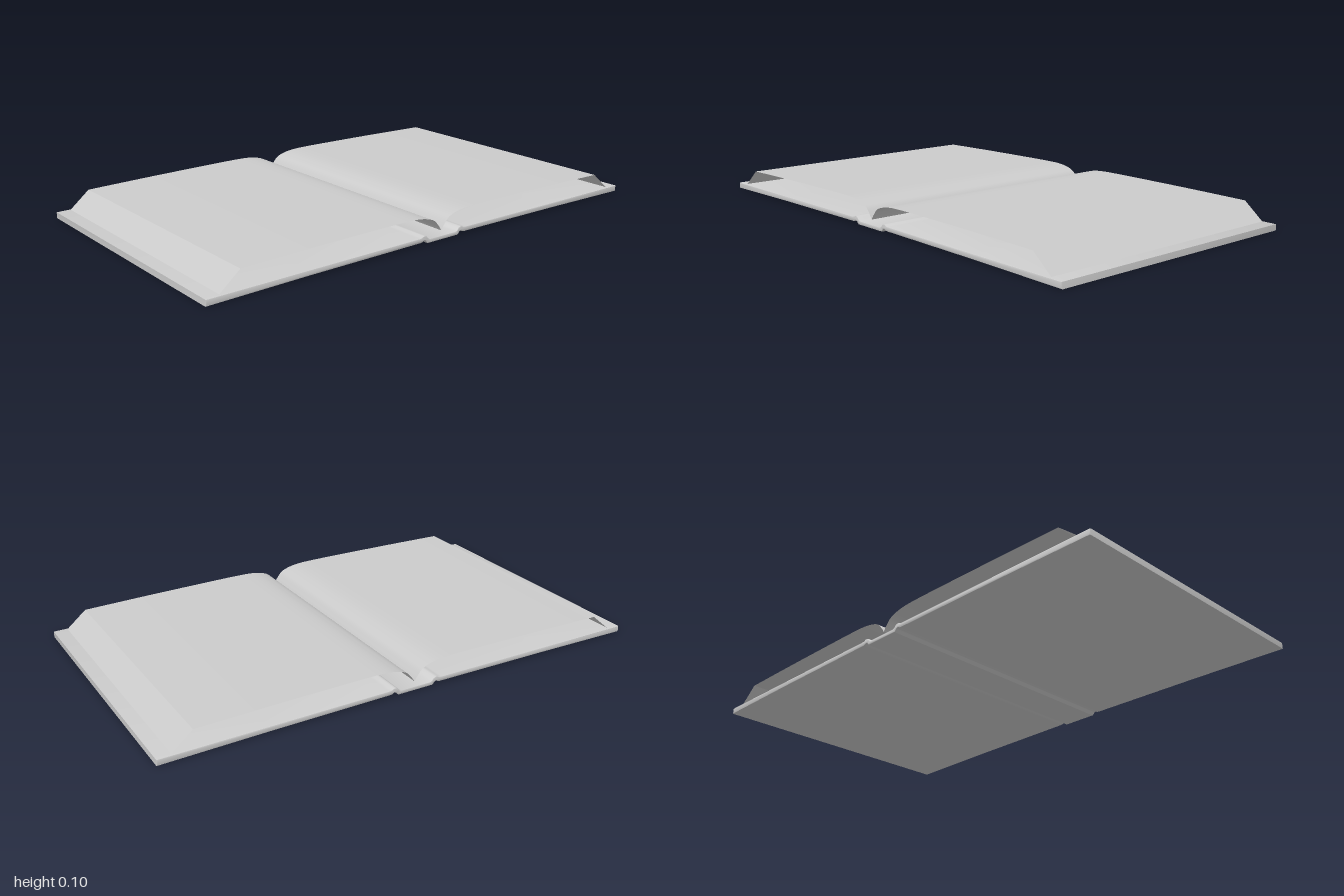
import * as THREE from 'three';
import { toCreasedNormals } from 'three/addons/utils/BufferGeometryUtils.js';

const material = new THREE.MeshStandardMaterial({ color: 0xcccccc });
const paper = new THREE.MeshStandardMaterial({ color: 0xcccccc, side: THREE.DoubleSide });
const vec = ([x, y]) => new THREE.Vector2(x, y);
const mirrored = (half) => [...half.slice().reverse().map(([x, y]) => [-x, y]), ...half];

function addMesh(group, name, geometry, mat) {
  const mesh = new THREE.Mesh(toCreasedNormals(geometry, 0.6), mat);
  mesh.name = name;
  group.add(mesh);
}

// Open sheet that follows a profile in x, y and spans the given depth in z
function sheet(points, depth) {
  const geometry = new THREE.PlaneGeometry(1, depth, points.length - 1, 1).rotateX(-Math.PI / 2);
  const pos = geometry.attributes.position;
  for (let i = 0; i < pos.count; i++) {
    const p = points[i % points.length];
    pos.setXY(i, p.x, p.y);
  }
  return geometry;
}

export function createModel() {
  const book = new THREE.Group();
  book.name = 'openBook';

  // Cover: flat spine, raised hinges and two boards, in one rounded strip
  const top = [
    [0.064, 0.018], [0.072, 0.022], [0.078, 0.03], [0.086, 0.034],
    [0.094, 0.034], [0.104, 0.029], [0.115, 0.028], [0.6, 0.026], [1, 0.024],
  ];
  const bottom = [
    [0.074, 0.003], [0.08, 0.008], [0.085, 0.014], [0.092, 0.016],
    [0.099, 0.012], [0.108, 0.01], [0.6, 0.006], [1, 0],
  ];
  const outline = [...mirrored(bottom), ...mirrored(top).reverse()].map(vec);
  const bevel = 0.004;
  const depth = 1.12 - 2 * bevel;
  const cover = new THREE.ExtrudeGeometry(new THREE.Shape(outline), {
    depth, bevelSize: bevel, bevelOffset: -bevel, bevelThickness: bevel, bevelSegments: 2,
  }).translate(0, 0, -depth / 2);
  addMesh(book, 'cover', cover, material);

  // Page blocks: curved top sheets rising from the gutter, open at both ends
  const curve = new THREE.SplineCurve([
    [0, 0.034], [0.012, 0.052], [0.035, 0.077], [0.07, 0.091], [0.12, 0.099],
    [0.2, 0.101], [0.35, 0.1], [0.6, 0.097], [0.865, 0.092],
  ].map(vec));
  const half = [...curve.getPoints(40), vec([0.945, 0.025])].map((p) => [p.x, p.y]);
  const profile = mirrored(half.slice(1));
  profile.splice(half.length - 1, 0, half[0]);
  addMesh(book, 'pages', sheet(profile.map(vec), 1.1), paper);

  return book;
}
